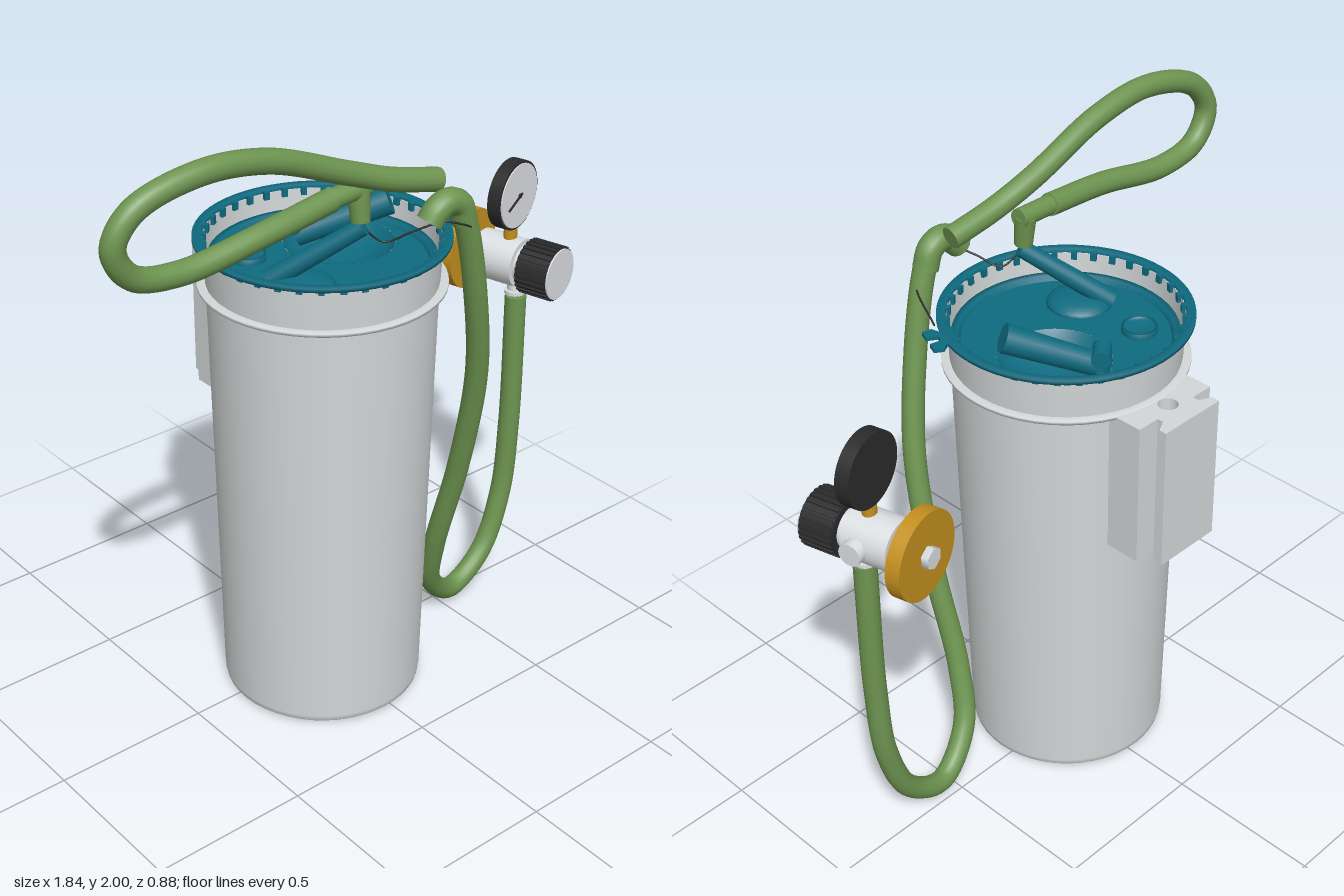
import * as THREE from 'three';

const mat = (name, color, side = THREE.FrontSide) => {
  const m = new THREE.MeshStandardMaterial({ color, side });
  m.name = name;
  return m;
};
const V = (x, y, z) => new THREE.Vector3(x, y, z);

export function createModel() {
  const root = new THREE.Group();
  root.name = 'suctionCanister';
  const grey = mat('canisterGrey', 0xd3d7d7, THREE.DoubleSide);
  const teal = mat('lidTeal', 0x0f6b80, THREE.DoubleSide);
  const green = mat('hoseGreen', 0x6d9450);
  const gold = mat('brassGold', 0xc4901f);
  const black = mat('knobBlack', 0x2b2b2b);
  const silver = mat('fittingSilver', 0xdcdfe2);

  const add = (parent, name, geo, material, x = 0, y = 0, z = 0) => {
    const m = new THREE.Mesh(geo, material);
    m.name = name;
    m.position.set(x, y, z);
    parent.add(m);
    return m;
  };
  const lathe = (pts, seg = 48) =>
    new THREE.LatheGeometry(pts.map(p => new THREE.Vector2(p[0], p[1])), seg);
  // Cylinder running from a to b
  const rod = (parent, name, a, b, ra, rb, material, seg = 20) => {
    const d = b.clone().sub(a);
    const m = add(parent, name, new THREE.CylinderGeometry(rb, ra, d.length(), seg), material);
    m.position.copy(a).addScaledVector(d, 0.5);
    m.quaternion.setFromUnitVectors(V(0, 1, 0), d.normalize());
    return m;
  };
  // Smooth hose through points, with flat end caps
  const hose = (parent, name, pts, r, material, seg = 120) => {
    const g = new THREE.Group();
    g.name = name;
    const curve = new THREE.CatmullRomCurve3(pts.map(p => V(...p)));
    add(g, name + 'Tube', new THREE.TubeGeometry(curve, seg, r, 16), material);
    [[0, -1], [1, 1]].forEach(([t, s]) => {
      const cap = add(g, name + 'End', new THREE.CircleGeometry(r, 16), material);
      cap.position.copy(curve.getPoint(t));
      cap.quaternion.setFromUnitVectors(V(0, 0, 1), curve.getTangent(t).multiplyScalar(s));
    });
    parent.add(g);
  };

  // Canister shell, open at the top
  const can = new THREE.Group();
  can.name = 'canister';
  can.position.set(-0.028, 0, 0.042);
  root.add(can);
  add(can, 'base', new THREE.CircleGeometry(0.303, 48).rotateX(Math.PI / 2), grey, 0, 0.004, 0);
  add(can, 'shell', lathe([[0.303, 0.004], [0.312, 0.012], [0.315, 0.03], [0.342, 1.38],
    [0.345, 1.42], [0.35, 1.535]]), grey);
  add(can, 'supportRing', lathe([[0.342, 1.394], [0.369, 1.394], [0.369, 1.404], [0.342, 1.404]]), grey);

  // Lid: outer flange, hanging clips and sunken floor
  const lid = new THREE.Group();
  lid.name = 'lid';
  can.add(lid);
  add(lid, 'flange', lathe([[0.352, 1.535], [0.378, 1.535], [0.378, 1.547], [0.352, 1.547], [0.352, 1.535]], 64), teal);
  for (let i = 0; i < 36; i++) {
    const a = i / 36 * Math.PI * 2;
    const clip = add(lid, 'rimClip', new THREE.BoxGeometry(0.018, 0.026, 0.018), teal,
      Math.sin(a) * 0.347, 1.53, Math.cos(a) * 0.347);
    clip.rotation.y = a;
  }
  add(lid, 'lidStep', lathe([[0.342, 1.45], [0.337, 1.477], [0.318, 1.477], [0.31, 1.46]]), teal);
  const bowlX = 0.12, bowlZ = -0.07, bowlR = 0.168;
  const floor = new THREE.Shape().absarc(0, 0, 0.335, 0, Math.PI * 2);
  floor.holes.push(new THREE.Path().absarc(bowlX, -bowlZ, bowlR, 0, Math.PI * 2, true));
  add(lid, 'lidFloor', new THREE.ShapeGeometry(floor, 32).rotateX(-Math.PI / 2), teal, 0, 1.46, 0);
  add(lid, 'lidBowl', lathe([[0.001, -0.07], [0.08, -0.062], [0.14, -0.035], [bowlR, 0]], 32),
    teal, bowlX, 1.46, bowlZ);
  add(lid, 'smallPort', lathe([[0, 0.008], [0.047, 0.008], [0.047, 0.018], [0.054, 0.018], [0.054, 0]], 24),
    teal, -0.165, 1.46, -0.14);
  const boss = add(lid, 'spoutBoss', new THREE.SphereGeometry(0.1, 24, 12), teal, -0.16, 1.46, 0.1);
  boss.scale.y = 0.35;

  // Lid spouts
  rod(root, 'hoseSpout', V(-0.25, 1.47, 0.07), V(-0.062, 1.65, 0.262), 0.032, 0.026, teal);
  rod(root, 'pourSpout', V(0.02, 1.46, -0.14), V(0.235, 1.572, 0.035), 0.036, 0.044, teal);
  rod(root, 'spoutHinge', V(-0.01, 1.5, -0.12), V(0.05, 1.5, -0.17), 0.028, 0.028, teal);

  // Notched tab on the flange
  const tab = new THREE.Shape([[-0.035, 0], [-0.035, 0.035], [-0.055, 0.05], [-0.05, 0.08], [-0.018, 0.08],
    [-0.012, 0.045], [0.012, 0.045], [0.018, 0.08], [0.05, 0.08], [0.055, 0.05], [0.035, 0.035], [0.035, 0]]
    .map(p => new THREE.Vector2(...p)));
  const tabMesh = add(root, 'lidTab', new THREE.ExtrudeGeometry(tab, { depth: 0.012, bevelEnabled: false })
    .rotateX(-Math.PI / 2), teal, 0.292, 1.535, 0.175);
  tabMesh.rotation.y = -Math.PI / 2 - 0.4;

  // Wall bracket, a T profile drawn upward
  const half = [[0.15, 0.27], [0.15, 0.385], [0.075, 0.385], [0.075, 0.405], [0.113, 0.425], [0.113, 0.45]];
  const profile = [...half, ...half.slice().reverse().map(([x, z]) => [-x, z])];
  const bracket = new THREE.Shape(profile.map(p => new THREE.Vector2(...p)));
  bracket.holes.push(new THREE.Path().absarc(0, 0.357, 0.03, 0, Math.PI * 2, true));
  add(root, 'wallBracket', new THREE.ExtrudeGeometry(bracket, { depth: 0.47, bevelEnabled: false })
    .rotateX(-Math.PI / 2), grey, -0.03, 0.932, 0);

  // Hose from the lid down and up to the regulator
  hose(root, 'vacuumHose', [[0.08, 1.67, 0.385], [0.13, 1.712, 0.39], [0.18, 1.69, 0.39], [0.21, 1.62, 0.39],
    [0.27, 1.39, 0.375], [0.335, 1.08, 0.33], [0.362, 0.7, 0.24], [0.366, 0.35, 0.14], [0.41, 0.16, 0.08],
    [0.545, 0.047, 0.04], [0.69, 0.13, 0.03], [0.77, 0.33, 0.03], [0.79, 0.6, 0.035], [0.79, 1.085, 0.035]],
  0.035, green);
  hose(root, 'hoseElbow', [[0.07, 1.665, 0.385], [0.095, 1.698, 0.388], [0.135, 1.714, 0.39], [0.178, 1.695, 0.39],
    [0.2, 1.64, 0.39]], 0.039, green, 24);
  // Looped patient hose with tee
  hose(root, 'loopHose', [[0.16, 1.75, 0.32], [0, 1.788, 0.305], [-0.15, 1.842, 0.29], [-0.415, 1.943, 0.285],
    [-0.64, 1.966, 0.285], [-0.83, 1.91, 0.27], [-0.885, 1.82, 0.26], [-0.83, 1.725, 0.255], [-0.68, 1.692, 0.255],
    [-0.415, 1.728, 0.265], [-0.17, 1.755, 0.25]], 0.035, green);
  rod(root, 'teeBar', V(-0.19, 1.755, 0.25), V(-0.04, 1.762, 0.245), 0.03, 0.03, green);
  rod(root, 'teeStem', V(-0.068, 1.665, 0.255), V(-0.068, 1.76, 0.245), 0.028, 0.033, green);
  // Thin retaining cord
  hose(root, 'cord', [[-0.06, 1.64, 0.262], [-0.01, 1.597, 0.29], [0.04, 1.635, 0.35], [0.1, 1.668, 0.41],
    [0.17, 1.645, 0.428], [0.24, 1.6, 0.39], [0.3, 1.55, 0.25]], 0.003, black, 40);

  // Regulator, turned slightly about the vertical
  const reg = new THREE.Group();
  reg.name = 'regulator';
  reg.position.set(0.787, 1.2, 0);
  reg.rotation.y = 0.24;
  root.add(reg);
  const along = (name, z0, z1, r, m, seg = 32, y = 0) => rod(reg, name, V(0, y, z0), V(0, y, z1), r, r, m, seg);
  along('body', -0.1, 0.05, 0.08, silver);
  along('bodyNeck', -0.145, 0.08, 0.062, silver);
  along('brassWheel', -0.185, -0.138, 0.135, gold, 40);
  along('wheelNut', -0.208, -0.18, 0.034, silver, 6);
  along('knob', 0.072, 0.185, 0.085, black);
  along('knobFace', 0.183, 0.19, 0.084, silver);
  for (let i = 0; i < 28; i++) {
    const a = i / 28 * Math.PI * 2;
    const rib = add(reg, 'knobRib', new THREE.BoxGeometry(0.01, 0.01, 0.108), black,
      Math.cos(a) * 0.086, Math.sin(a) * 0.086, 0.128);
    rib.rotation.z = a;
  }
  rod(reg, 'sidePort', V(0, 0, 0), V(0.105, 0, 0), 0.036, 0.036, silver);
  // Gauge
  rod(reg, 'gaugeStem', V(0, 0.06, 0), V(0, 0.13, 0), 0.022, 0.022, gold);
  along('gaugeCase', -0.023, 0.022, 0.114, black, 40, 0.228);
  along('gaugeDial', 0.02, 0.026, 0.106, silver, 40, 0.228);
  const needle = add(reg, 'gaugeNeedle', new THREE.BoxGeometry(0.085, 0.007, 0.004), black, -0.024, 0.214, 0.028);
  needle.rotation.z = 0.45;
  add(reg, 'needleHub', new THREE.CylinderGeometry(0.008, 0.008, 0.006, 12).rotateX(Math.PI / 2), black, 0, 0.228, 0.028);
  // Hose connector
  rod(root, 'connector', V(0.79, 1.07, 0.03), V(0.79, 1.16, 0.02), 0.021, 0.024, silver);
  rod(root, 'connectorCollar', V(0.79, 1.092, 0.03), V(0.79, 1.104, 0.03), 0.034, 0.034, silver);
  return root;
}
